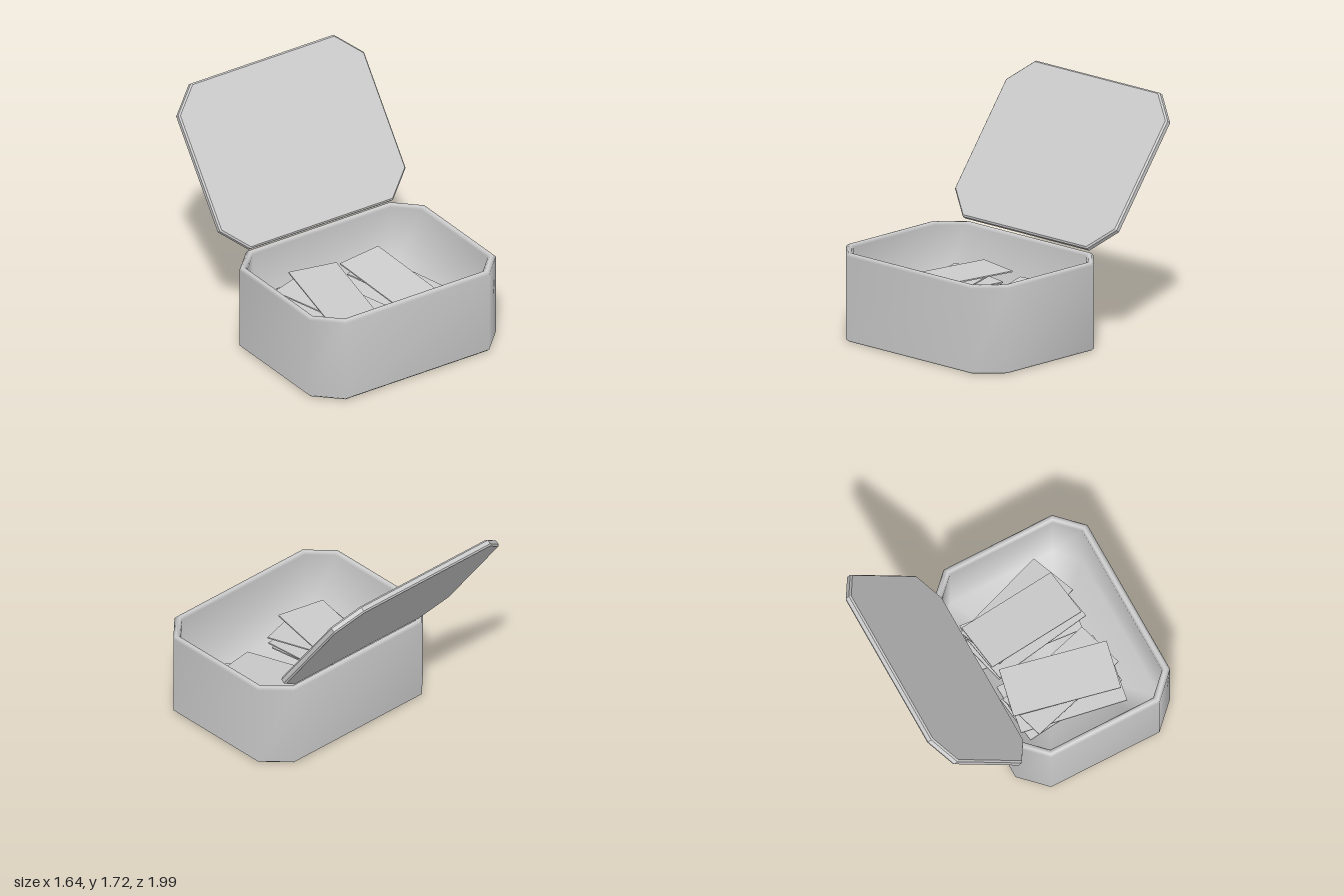
import * as THREE from 'three';

const grey = new THREE.MeshStandardMaterial({ color: 0xcccccc });

// Corners of a rectangle with cut corners, shrunk evenly by inset
function octagon(halfW, halfD, cut, inset = 0) {
  const w = halfW - inset, d = halfD - inset, c = cut - inset * 0.586;
  return [
    [-(w - c), d], [w - c, d], [w, d - c], [w, -(d - c)],
    [w - c, -d], [-(w - c), -d], [-w, -(d - c)], [-w, d - c],
  ];
}

const toShape = (points) => new THREE.Shape(points.map(([x, y]) => new THREE.Vector2(x, y)));

// Skin a list of [inset, height] rings and close the last one with a floor
function loft(profile, halfW, halfD, cut) {
  const positions = [], index = [], n = 8;
  for (const [inset, y] of profile) {
    for (const [x, z] of octagon(halfW, halfD, cut, inset)) positions.push(x, y, z);
  }
  for (let r = 0; r < profile.length - 1; r++) {
    for (let j = 0; j < n; j++) {
      const a = r * n + j, b = r * n + (j + 1) % n;
      index.push(a, b, b + n, a, b + n, a + n);
    }
  }
  const last = (profile.length - 1) * n;
  positions.push(0, profile.at(-1)[1], 0);
  for (let j = 0; j < n; j++) index.push(last + j, last + (j + 1) % n, last + n);
  const geometry = new THREE.BufferGeometry();
  geometry.setAttribute('position', new THREE.Float32BufferAttribute(positions, 3));
  geometry.setIndex(index);
  geometry.computeVertexNormals();
  return geometry;
}

function addMesh(parent, name, geometry) {
  const mesh = new THREE.Mesh(geometry, grey);
  mesh.name = name;
  parent.add(mesh);
  return mesh;
}

export function createModel() {
  const model = new THREE.Group();
  model.name = 'openBox';
  const W = 0.82, D = 0.635, CUT = 0.19;

  // Box body: outer wall, rounded rim, inner wall and floor
  const body = new THREE.Group();
  body.name = 'body';
  body.position.z = 0.365;
  model.add(body);
  addMesh(body, 'shell', loft([
    [0.02, 0], [0, 0.018], [0, 0.64], [0.018, 0.66],
    [0.038, 0.66], [0.055, 0.64], [0.06, 0.05],
  ], W, D, CUT));
  const underside = addMesh(body, 'underside', new THREE.ShapeGeometry(toShape(octagon(W, D, CUT, 0.02))));
  underside.rotation.x = Math.PI / 2;

  // Lid leaning back from the rear edge
  const lidGeometry = new THREE.ExtrudeGeometry(toShape(octagon(0.817, 0.635, CUT)), {
    depth: 0.031, bevelEnabled: true, bevelThickness: 0.012,
    bevelSize: 0.012, bevelOffset: -0.012, bevelSegments: 1,
  });
  lidGeometry.translate(0, 0, -0.0155);
  const lid = addMesh(model, 'lid', lidGeometry);
  lid.position.set(-0.007, 1.2, -0.6);
  lid.rotation.x = -0.637;

  // Two loose piles of cards, top card first: [x, y, z, turn, tilt, roll]
  const piles = {
    leftPile: [
      [0.31, 0.34, 0.285, 0.14, 0.16, 0],
      [0.4, 0.29, 0.295, 0.36, 0.12, -0.04],
      [0.27, 0.25, 0.305, 0.19, 0.1, 0.03],
      [0.3, 0.2, 0.29, 0.25, 0.06, 0],
      [0.32, 0.15, 0.29, -0.08, 0.02, 0],
    ],
    rightPile: [
      [-0.25, 0.435, 0.3, -0.21, 0.02, 0],
      [-0.25, 0.385, 0.305, 0.29, 0.04, 0.02],
      [-0.34, 0.335, 0.3, -0.17, 0.02, -0.02],
      [-0.22, 0.285, 0.3, 0.04, 0.04, 0],
      [-0.27, 0.235, 0.3, 0.12, 0.02, 0],
    ],
  };
  const cardGeometry = new THREE.BoxGeometry(0.375, 0.01, 0.81);
  for (const [name, cards] of Object.entries(piles)) {
    const pile = new THREE.Group();
    pile.name = name;
    model.add(pile);
    for (const [x, y, z, turn, tilt, roll] of cards) {
      const card = addMesh(pile, 'card', cardGeometry);
      card.position.set(x, y, z);
      card.rotation.set(tilt, turn, roll, 'YXZ');
    }
  }
  return model;
}
